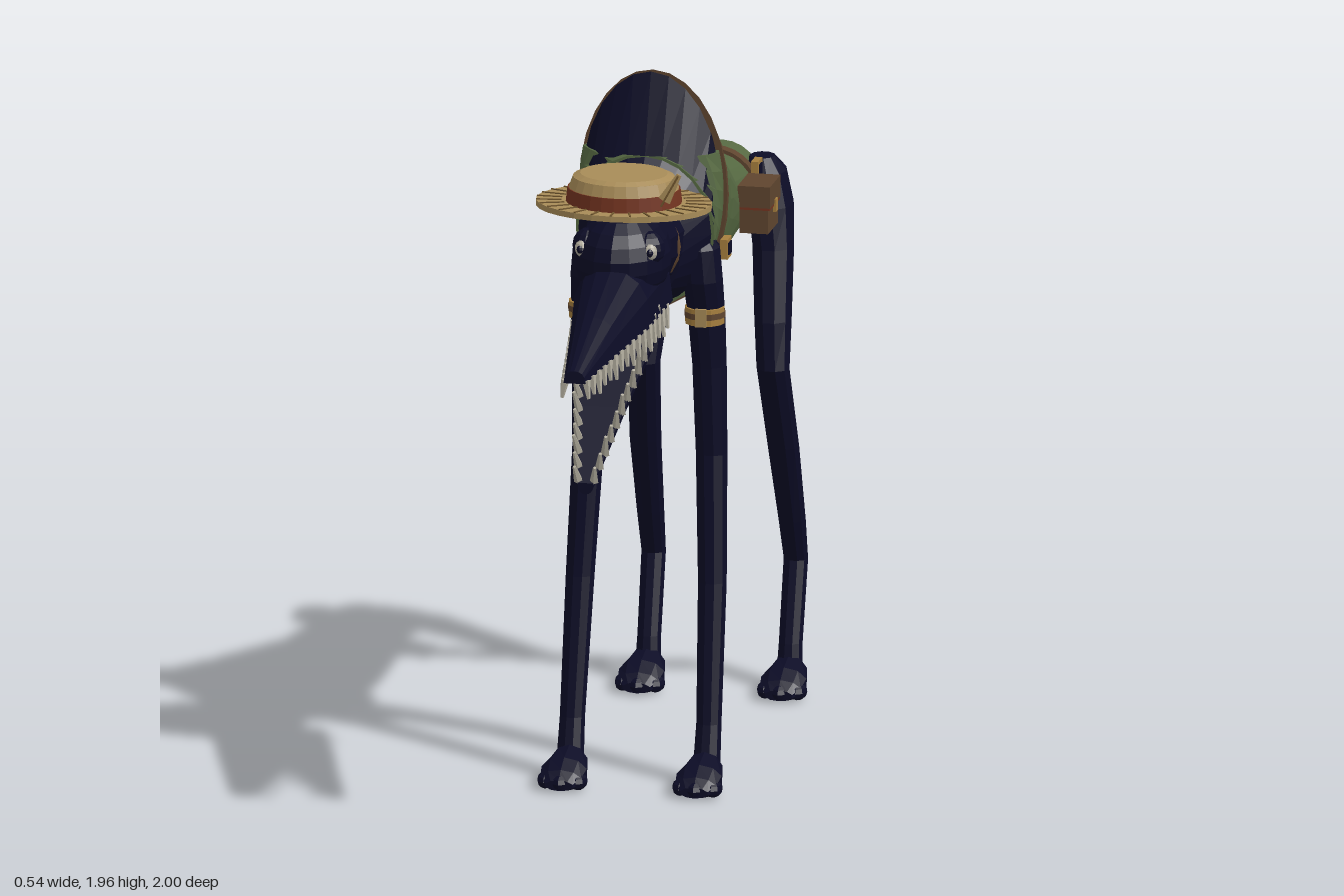
import * as THREE from 'three';

const mat = (name, color) => Object.assign(new THREE.MeshStandardMaterial({ color }), { name });
const M = {
  hide: mat('navy hide', 0x0c0c26),
  vest: mat('green cloth', 0x566942),
  straw: mat('straw', 0xa88c58),
  weave: mat('straw shadow', 0x71572f),
  ribbon: mat('rust ribbon', 0x743420),
  leather: mat('brown leather', 0x5f452f),
  gold: mat('gold metal', 0xa67f3e),
  tooth: mat('ivory', 0xb4afa0),
};

// Faceted normals for a geometry
function facet(geo) {
  const g = geo.index ? geo.toNonIndexed() : geo;
  g.computeVertexNormals();
  return g;
}

// Capped skin through equal-length rings of points, turned outward by signed volume
function loft(rings) {
  const n = rings[0].length, pts = rings.flat(), tris = [];
  for (let r = 0; r < rings.length - 1; r++) {
    for (let i = 0; i < n; i++) {
      const a = r * n + i, b = r * n + (i + 1) % n;
      tris.push([a, b, b + n], [a, b + n, a + n]);
    }
  }
  const end = (rings.length - 1) * n;
  for (let i = 1; i < n - 1; i++) tris.push([0, i + 1, i], [end, end + i, end + i + 1]);
  const v = p => new THREE.Vector3(...p);
  const o = v(pts[0]);
  let volume = 0;
  for (const t of tris) {
    const [a, b, c] = t.map(i => v(pts[i]).sub(o));
    volume += a.dot(b.cross(c));
  }
  if (volume < 0) tris.forEach(t => t.reverse());
  const g = new THREE.BufferGeometry();
  g.setAttribute('position', new THREE.Float32BufferAttribute(pts.flat(), 3));
  g.setIndex(tris.flat());
  return facet(g);
}

// Upright elliptical ring at z; the arc above "cut" is left out
function ringZ([z, top, bot, w], n, cut = Infinity, cx = 0) {
  const c = (top + bot) / 2, h = (top - bot) / 2;
  const a = top > cut ? Math.asin((cut - c) / h) : Math.PI / 2;
  const span = Math.PI + 2 * a;
  return Array.from({ length: n }, (_, i) => {
    const t = a - span * i / (a < Math.PI / 2 ? n - 1 : n);
    return [cx + w * Math.cos(t), c + h * Math.sin(t), z];
  });
}

// Level ring for limbs
const ringY = ([x, y, z, rx, rz], n = 10) => Array.from({ length: n }, (_, i) => {
  const t = i / n * Math.PI * 2;
  return [x + rx * Math.cos(t), y, z + rz * Math.sin(t)];
});

// Half-round ring for jaws: flat on one side, domed on the other
const ringJaw = ([z, flat, dome, w], n = 9) => Array.from({ length: n }, (_, i) => {
  const t = i / (n - 1) * Math.PI;
  return [w * Math.cos(t), flat + (dome - flat) * Math.pow(Math.sin(t), 0.7), z];
});

// Linear lookup in a table whose first column is descending z
function at(table, z) {
  let i = 0;
  while (i < table.length - 2 && z < table[i + 1][0]) i++;
  const a = table[i], b = table[i + 1], k = (z - a[0]) / (b[0] - a[0]);
  return a.map((q, j) => q + (b[j] - q) * k);
}

// Trunk: z, top, bottom, half width
const TRUNK = [
  [0.18, 1.645, 1.355, 0.12], [0.08, 1.74, 1.325, 0.185], [0, 1.96, 1.31, 0.192],
  [-0.15, 1.852, 1.297, 0.175], [-0.305, 1.735, 1.289, 0.158], [-0.58, 1.57, 1.294, 0.12],
  [-0.8, 1.52, 1.312, 0.112], [-0.92, 1.525, 1.31, 0.105], [-1, 1.475, 1.28, 0.085],
];
const grown = (z, d) => { const s = at(TRUNK, z); return [z, s[1] + d, s[2] - d, s[3] + d]; };

export function createModel() {
  const root = new THREE.Group();
  root.name = 'creature';
  const add = (name, geo, m, p = [0, 0, 0], parent = root) => {
    const mesh = new THREE.Mesh(geo, m);
    mesh.name = name;
    mesh.position.set(...p);
    parent.add(mesh);
    return mesh;
  };
  const box = (name, size, m, p, parent) => add(name, new THREE.BoxGeometry(...size), m, p, parent);
  const ball = (name, r, m, p, d = 12) => {
    const s = add(name, facet(new THREE.SphereGeometry(1, d, Math.round(d * 0.7))), m, p);
    s.scale.set(...r);
    return s;
  };

  // Trunk with hump, and the vest cut off level below the hump
  add('trunk', loft(TRUNK.map(s => ringZ(s, 24))), M.hide);
  const vestZ = [0.08, 0.04, 0, -0.075, -0.15, -0.23, -0.3, -0.58, -0.8, -0.93];
  add('vest', loft(vestZ.map(z => ringZ(grown(z, 0.008), 24, 1.742))), M.vest);

  // Straps around the trunk, with side buckles
  const strap = (name, z, w) => add(name,
    loft([z + w / 2, z - w / 2].map(q => ringZ(grown(q, 0.018), 28))), M.leather);
  strap('shoulderStrap', -0.048, 0.042);
  strap('hipStrap', -0.808, 0.04);
  for (const s of [-1, 1]) {
    for (const [y, z, x] of [[1.465, -0.04, 0.2], [1.482, -0.805, 0.122]]) {
      box('buckle', [0.02, 0.055, 0.055], M.gold, [s * x, y, z]);
      box('buckleCentre', [0.008, 0.034, 0.034], M.hide, [s * (x + 0.009), y, z]);
    }
  }

  // Pouch on the left flank
  box('pouch', [0.08, 0.125, 0.13], M.leather, [0.175, 1.44, -0.585]);
  box('pouchFlap', [0.09, 0.06, 0.14], M.leather, [0.176, 1.481, -0.585]);
  box('pouchTrim', [0.086, 0.008, 0.136], M.ribbon, [0.177, 1.448, -0.585]);
  box('pouchClasp', [0.008, 0.035, 0.025], M.gold, [0.222, 1.445, -0.585]);

  // Neck, collar and skull
  add('neck', loft([[0.3, 1.65, 1.42, 0.105], [0.1, 1.68, 1.37, 0.14]].map(s => ringZ(s, 14))), M.hide);
  const collar = add('collar', new THREE.TorusGeometry(0.112, 0.008, 5, 20), M.leather, [0, 1.525, 0.2]);
  collar.scale.set(1.05, 1.02, 1);
  ball('skull', [0.132, 0.135, 0.17], M.hide, [0, 1.535, 0.36], 16);

  // Jaws: z, flat side, domed side, half width
  const upper = [[1, 1.34, 1.375, 0.03], [0.75, 1.36, 1.462, 0.07], [0.52, 1.38, 1.535, 0.11], [0.3, 1.4, 1.55, 0.125]];
  const lower = [[0.855, 1.022, 0.99, 0.022], [0.65, 1.185, 1.13, 0.066], [0.46, 1.33, 1.255, 0.107], [0.3, 1.425, 1.37, 0.122]];
  add('upperJaw', loft(upper.map(s => ringJaw(s))), M.hide);
  add('lowerJaw', loft(lower.map(s => ringJaw(s))), M.hide);

  // Teeth along both jaws, small toward the tips
  const toothGeo = facet(new THREE.CylinderGeometry(0.005, 0.013, 1, 5));
  const teeth = (name, table, z0, z1, n, dir, tilt) => {
    for (let i = 0; i < n; i++) {
      const z = z0 + (z1 - z0) * i / (n - 1), [, y, , w] = at(table, z);
      const len = 0.068 - 0.018 * i / n + (i % 3 === 1 ? 0.012 : 0);
      for (const s of [-1, 1]) {
        const d = new THREE.Vector3(s * 0.15, dir, tilt).normalize();
        const t = add(name, toothGeo, M.tooth,
          [s * w * 0.93 + d.x * len * 0.4, y + d.y * len * 0.4, z + d.z * len * 0.4]);
        t.quaternion.setFromUnitVectors(new THREE.Vector3(0, 1, 0), d);
        t.scale.y = len;
      }
    }
  };
  teeth('upperTooth', upper, 0.35, 0.985, 16, -1, 0.05);
  teeth('lowerTooth', lower, 0.4, 0.845, 13, 1, 0.55);

  // Eyes under rounded brows
  for (const s of [-1, 1]) {
    ball('eyeSocket', [0.045, 0.05, 0.05], M.hide, [s * 0.084, 1.575, 0.42]);
    ball('eye', [0.02, 0.024, 0.02], M.tooth, [s * 0.095, 1.575, 0.456], 10);
    ball('pupil', [0.01, 0.012, 0.01], M.hide, [s * 0.097, 1.575, 0.47], 8);
  }

  // Boater hat, oval from above
  const hat = new THREE.Group();
  hat.name = 'hat';
  hat.position.set(0, 1.68, 0.353);
  hat.scale.z = 0.72;
  root.add(hat);
  const disc = (name, r1, r2, h, m, y) => add(name, facet(new THREE.CylinderGeometry(r1, r2, h, 28)), m, [0, y, 0], hat);
  disc('brim', 0.243, 0.243, 0.016, M.straw, 0);
  disc('band', 0.155, 0.16, 0.042, M.ribbon, 0.026).scale.z = 1.2;
  disc('crown', 0.14, 0.152, 0.032, M.straw, 0.062).scale.z = 1.2;
  disc('crownTop', 0.12, 0.14, 0.01, M.straw, 0.082).scale.z = 1.2;
  for (let i = 0; i < 28; i++) {
    const a = i / 28 * Math.PI * 2;
    const rib = box('brimRib', [0.07, 0.004, 0.005], M.weave, [Math.cos(a) * 0.207, 0.009, Math.sin(a) * 0.207], hat);
    rib.rotation.y = -a;
  }

  // Feather tucked in the hat band
  const feather = new THREE.Group();
  feather.name = 'feather';
  feather.position.set(0.125, 1.705, 0.45);
  feather.rotation.z = -0.5;
  root.add(feather);
  const vane = add('vane', facet(new THREE.CylinderGeometry(0.008, 0.02, 0.085, 6)), M.straw, [0, 0.06, 0], feather);
  vane.scale.z = 0.4;
  box('quill', [0.005, 0.1, 0.019], M.weave, [0, 0.05, 0], feather);

  // Legs: x, y, z, x radius, z radius
  const foreleg = [
    [0.14, 1.53, 0.05, 0.03, 0.03], [0.148, 1.49, 0.055, 0.056, 0.066], [0.156, 1.4, 0.055, 0.056, 0.07],
    [0.163, 1.28, 0.035, 0.052, 0.056], [0.168, 1.15, 0.024, 0.048, 0.048], [0.172, 0.9, 0.015, 0.044, 0.041],
    [0.184, 0.55, 0.062, 0.04, 0.036], [0.19, 0.17, 0.135, 0.035, 0.029], [0.19, 0.05, 0.165, 0.038, 0.032]];
  const hindleg = [
    [0.12, 1.5, -0.89, 0.035, 0.04], [0.13, 1.46, -0.89, 0.058, 0.078], [0.145, 1.37, -0.88, 0.065, 0.087],
    [0.16, 1.26, -0.845, 0.058, 0.069], [0.172, 1.07, -0.785, 0.052, 0.062], [0.18, 0.94, -0.748, 0.046, 0.044],
    [0.192, 0.7, -0.828, 0.044, 0.041], [0.197, 0.47, -0.918, 0.038, 0.041], [0.198, 0.35, -0.962, 0.034, 0.033],
    [0.197, 0.13, -0.9, 0.033, 0.031], [0.197, 0.05, -0.885, 0.036, 0.033]];
  const foot = [[0, 0.075, 0, 0.035], [0.05, 0.1, 0, 0.052], [0.12, 0.082, 0, 0.066], [0.165, 0.058, 0, 0.06], [0.19, 0.035, 0.005, 0.04]];
  for (const s of [-1, 1]) {
    for (const [name, path, fx, fz] of [['frontLeg', foreleg, 0.188, 0.132], ['backLeg', hindleg, 0.198, -0.925]]) {
      add(name, loft(path.map(([x, ...r]) => ringY([s * x, ...r]))), M.hide);
      add(name + 'Foot', loft(foot.map(([z, ...r]) => ringZ([z + fz, ...r], 10, Infinity, s * fx))), M.hide);
      for (const k of [-1, 0, 1]) {
        ball('toe', [0.025, 0.024, 0.042], M.hide, [s * fx + k * 0.045, 0.024, fz + 0.162 - Math.abs(k) * 0.02], 8);
      }
    }
    // Cuff on the foreleg
    for (const [name, r, h, m, y] of [['cuff', 0.055, 0.046, M.gold, 1.3], ['cuffBand', 0.057, 0.016, M.leather, 1.303]]) {
      add(name, facet(new THREE.CylinderGeometry(r, r, h, 12)), m, [s * 0.162, y, 0.055]);
    }
    box('cuffBuckle', [0.03, 0.05, 0.01], M.straw, [s * 0.162, 1.302, 0.11]);
  }
  return root;
}
